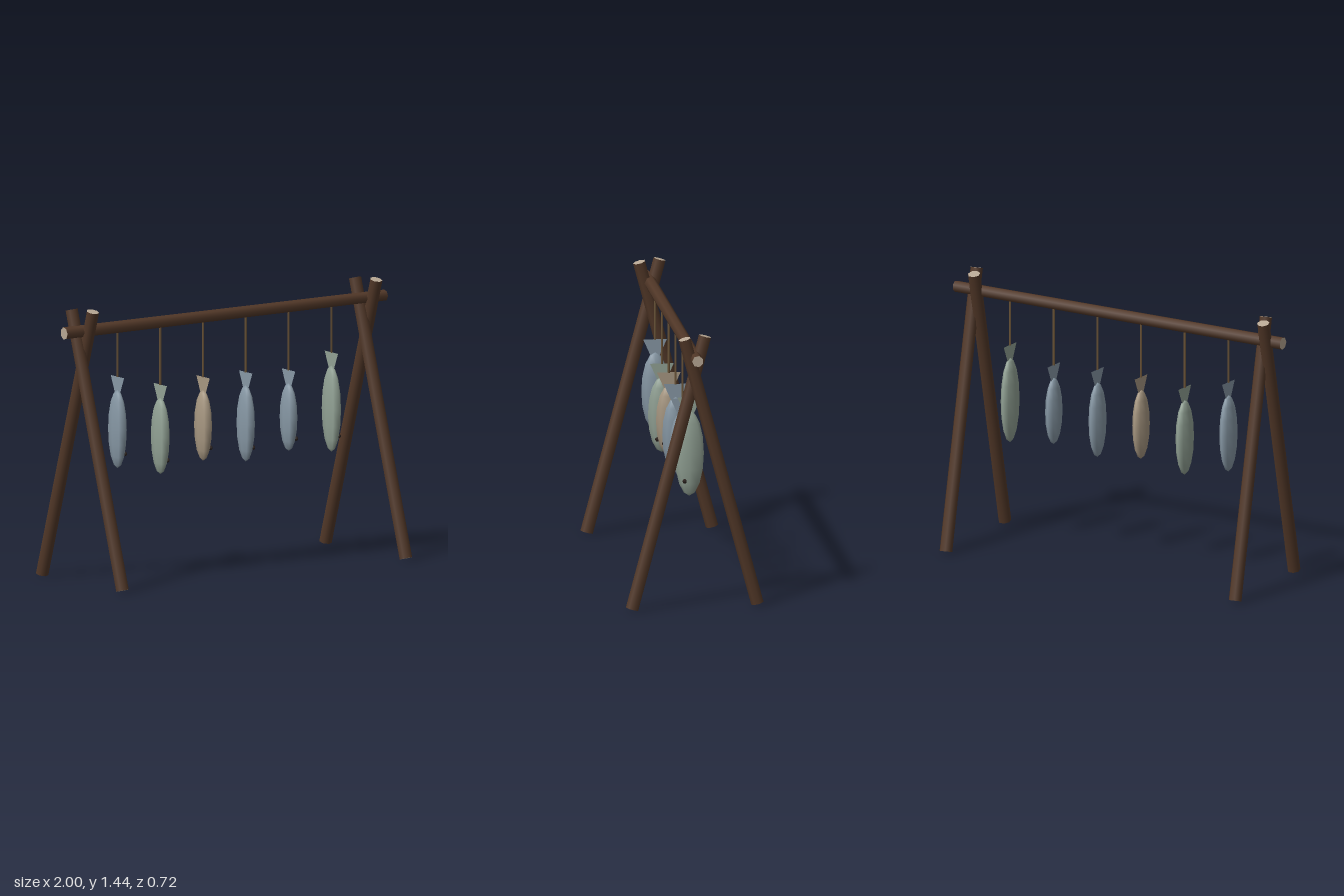
import * as THREE from 'three';

const material = (name, color, side = THREE.FrontSide) => {
  const m = new THREE.MeshStandardMaterial({ color, side });
  m.name = name;
  return m;
};

export function createModel() {
  const model = new THREE.Group();
  model.name = 'fishDryingRack';

  const bark = material('bark', 0x523828);
  const cutWood = material('cutWood', 0xb8a894);
  const cord = material('cord', 0x6b5438);
  const eyeDark = material('eyeDark', 0x2a201c);
  const skins = {
    blue: material('blueFish', 0x8798a5, THREE.DoubleSide),
    green: material('greenFish', 0x92a295, THREE.DoubleSide),
    tan: material('tanFish', 0xa89882, THREE.DoubleSide),
  };

  // Tapered pole between two points, with pale cut ends
  function pole(name, from, to, rFrom, rTo, sides, mats) {
    const a = new THREE.Vector3(...from), b = new THREE.Vector3(...to);
    const dir = b.clone().sub(a);
    const mesh = new THREE.Mesh(new THREE.CylinderGeometry(rTo, rFrom, dir.length(), sides), mats);
    mesh.name = name;
    mesh.position.copy(a).add(b).multiplyScalar(0.5);
    mesh.quaternion.setFromUnitVectors(new THREE.Vector3(0, 1, 0), dir.normalize());
    return mesh;
  }
  const log = [bark, cutWood, cutWood];

  // Crossed legs at both ends
  for (const x of [-0.887, 0.88]) {
    model.add(pole('frontLeg', [x + 0.028, 0.009, 0.331], [x - 0.028, 1.434, -0.057], 0.034, 0.033, 7, log));
    model.add(pole('backLeg', [x - 0.028, 0.009, -0.331], [x + 0.028, 1.434, 0.057], 0.034, 0.033, 7, log));
  }

  // Cross beam
  model.add(pole('crossBeam', [-1, 1.325, 0], [1, 1.334, 0], 0.033, 0.03, 7, log));

  // Flat tail fin, fanning out upward from the body
  const fin = new THREE.Shape();
  fin.moveTo(-0.022, -0.02);
  fin.lineTo(0.022, -0.02);
  fin.lineTo(0.062, 0.07);
  fin.lineTo(-0.062, 0.07);
  const finGeometry = new THREE.ShapeGeometry(fin).rotateY(Math.PI / 2);
  const bodyGeometry = new THREE.SphereGeometry(1, 8, 8);
  const eyeGeometry = new THREE.SphereGeometry(0.012, 6, 5);

  // Hanging fish: x, bottom, top, half depth, colour
  const catches = [
    [-0.667, 0.587, 0.997, 0.072, 'blue'],
    [-0.4, 0.53, 0.93, 0.073, 'green'],
    [-0.133, 0.575, 0.945, 0.067, 'tan'],
    [0.133, 0.545, 0.945, 0.07, 'blue'],
    [0.4, 0.575, 0.93, 0.066, 'blue'],
    [0.667, 0.545, 0.997, 0.076, 'green'],
  ];
  for (const [x, bottom, top, depth, skin] of catches) {
    const fish = new THREE.Group();
    fish.name = 'hangingFish';
    fish.position.x = x;

    const body = new THREE.Mesh(bodyGeometry, skins[skin]);
    body.name = 'fishBody';
    body.position.y = (top + bottom) / 2;
    body.scale.set(0.034, (top - bottom) / 2, depth);

    const tail = new THREE.Mesh(finGeometry, skins[skin]);
    tail.name = 'fishTail';
    tail.position.y = top;

    const eye = new THREE.Mesh(eyeGeometry, eyeDark);
    eye.name = 'fishEye';
    eye.position.set(0.028, bottom + (top - bottom) * 0.185, 0.028);

    const string = pole('hangingCord', [0, top + 0.068, 0], [0, 1.32, 0], 0.006, 0.006, 5, cord);
    fish.add(body, tail, eye, string);
    model.add(fish);
  }
  return model;
}
